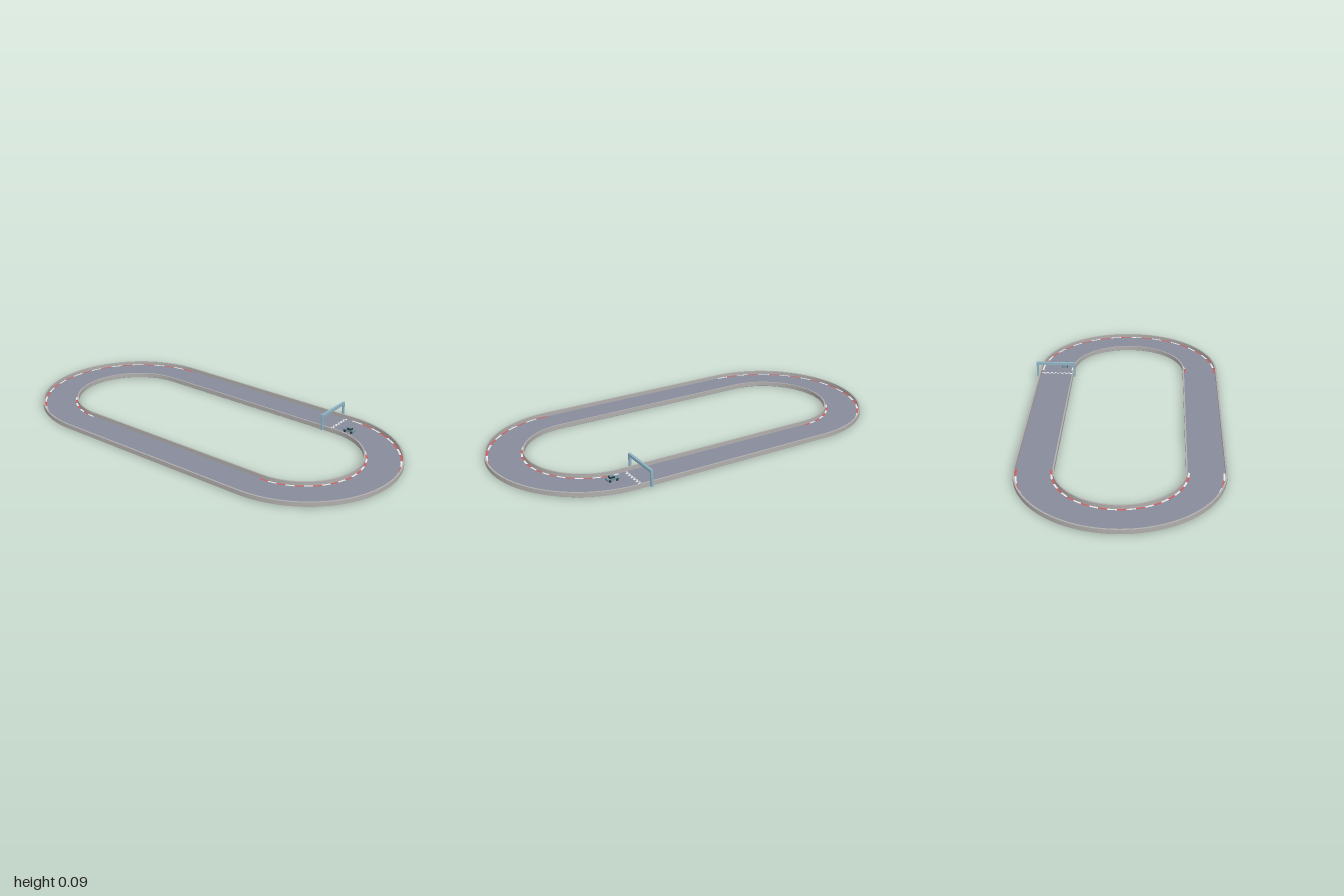
import * as THREE from 'three';

const CX = -0.007;      // track centre in x
const HALF = 0.522;     // half length of the straights
const ROAD_Y = 0.006;   // top of the road

const mat = (name, color) => Object.assign(new THREE.MeshStandardMaterial({ color }), { name });

// Traces a stadium outline: two straights joined by half circles.
function stadium(path, r) {
  path.moveTo(r, -HALF);
  path.lineTo(r, HALF);
  path.absarc(0, HALF, r, 0, Math.PI, false);
  path.lineTo(-r, -HALF);
  path.absarc(0, -HALF, r, Math.PI, Math.PI * 2, false);
  return path;
}

// Solid stadium-shaped ring between two radii, from y0 to y1.
function ring(rIn, rOut, y0, y1) {
  const shape = stadium(new THREE.Shape(), rOut);
  shape.holes.push(stadium(new THREE.Path(), rIn));
  const geo = new THREE.ExtrudeGeometry(shape, { depth: y1 - y0, bevelEnabled: false, curveSegments: 48 });
  return geo.rotateX(-Math.PI / 2).translate(CX, y0, 0);
}

export function createModel() {
  const model = new THREE.Group();
  model.name = 'raceTrack';

  const asphalt = mat('asphalt', 0x868b9a);
  const concrete = mat('concrete', 0xb0aeac);
  const red = mat('curbRed', 0xd05a5a);
  const white = mat('paintWhite', 0xe8e8e8);
  const steel = mat('gateBlue', 0x8fb3c4);
  const carPaint = mat('carPaint', 0x6f919e);
  const rubber = mat('rubber', 0x30363b);

  function add(parent, name, geo, material, x = 0, y = 0, z = 0) {
    const mesh = new THREE.Mesh(geo, material);
    mesh.name = name;
    mesh.position.set(x, y, z);
    parent.add(mesh);
    return mesh;
  }
  const box = (parent, name, w, h, d, material, x, y, z) =>
    add(parent, name, new THREE.BoxGeometry(w, h, d), material, x, y, z);

  // Road slab and the low walls on both sides
  add(model, 'road', ring(0.301, 0.472, 0, ROAD_Y), asphalt);
  add(model, 'outerWall', ring(0.471, 0.479, 0.004, 0.025), concrete);
  add(model, 'innerWall', ring(0.295, 0.302, 0.004, 0.025), concrete);

  // Striped curbs round both bends
  const curbs = new THREE.Group();
  curbs.name = 'curbs';
  model.add(curbs);
  const count = 24, step = Math.PI / count;
  for (const end of [1, -1]) {
    for (const r of [0.303, 0.462]) {
      for (let i = 0; i < count; i++) {
        const start = i * step + (end < 0 ? 0 : Math.PI);
        const geo = new THREE.RingGeometry(r, r + 0.009, 4, 1, start, step).rotateX(-Math.PI / 2);
        add(curbs, 'curbStripe', geo, i % 2 ? white : red, CX, ROAD_Y + 0.0012, end * HALF);
      }
    }
  }

  // Chequered start line, two staggered rows
  const line = new THREE.Group();
  line.name = 'startLine';
  model.add(line);
  const cells = 14, cw = 0.162 / cells;
  for (let i = 0; i < cells; i++) {
    box(line, 'startCell', cw, 0.001, 0.008, white,
      0.299 + (i + 0.5) * cw, ROAD_Y + 0.0006, 0.482 + (i % 2) * 0.008);
  }

  // Start gate spanning the road
  const gate = new THREE.Group();
  gate.name = 'startGate';
  model.add(gate);
  for (const x of [0.283, 0.48]) box(gate, 'gatePost', 0.01, 0.08, 0.01, steel, x, 0.045, 0.455);
  box(gate, 'gateBeam', 0.207, 0.014, 0.012, steel, 0.3815, 0.078, 0.455);

  // Little car just past the line
  const car = new THREE.Group();
  car.name = 'car';
  car.position.set(0.343, ROAD_Y, 0.576);
  model.add(car);
  box(car, 'carBody', 0.024, 0.01, 0.058, carPaint, 0, 0.01, 0);
  box(car, 'carCabin', 0.019, 0.009, 0.024, rubber, 0, 0.0195, 0.003);
  box(car, 'carRoof', 0.018, 0.0015, 0.022, carPaint, 0, 0.0245, 0.003);
  const wheel = new THREE.CylinderGeometry(0.006, 0.006, 0.005, 12).rotateZ(Math.PI / 2);
  for (const sx of [-1, 1])
    for (const sz of [-1, 1]) add(car, 'wheel', wheel, rubber, sx * 0.012, 0.006, sz * 0.018);

  return model;
}
